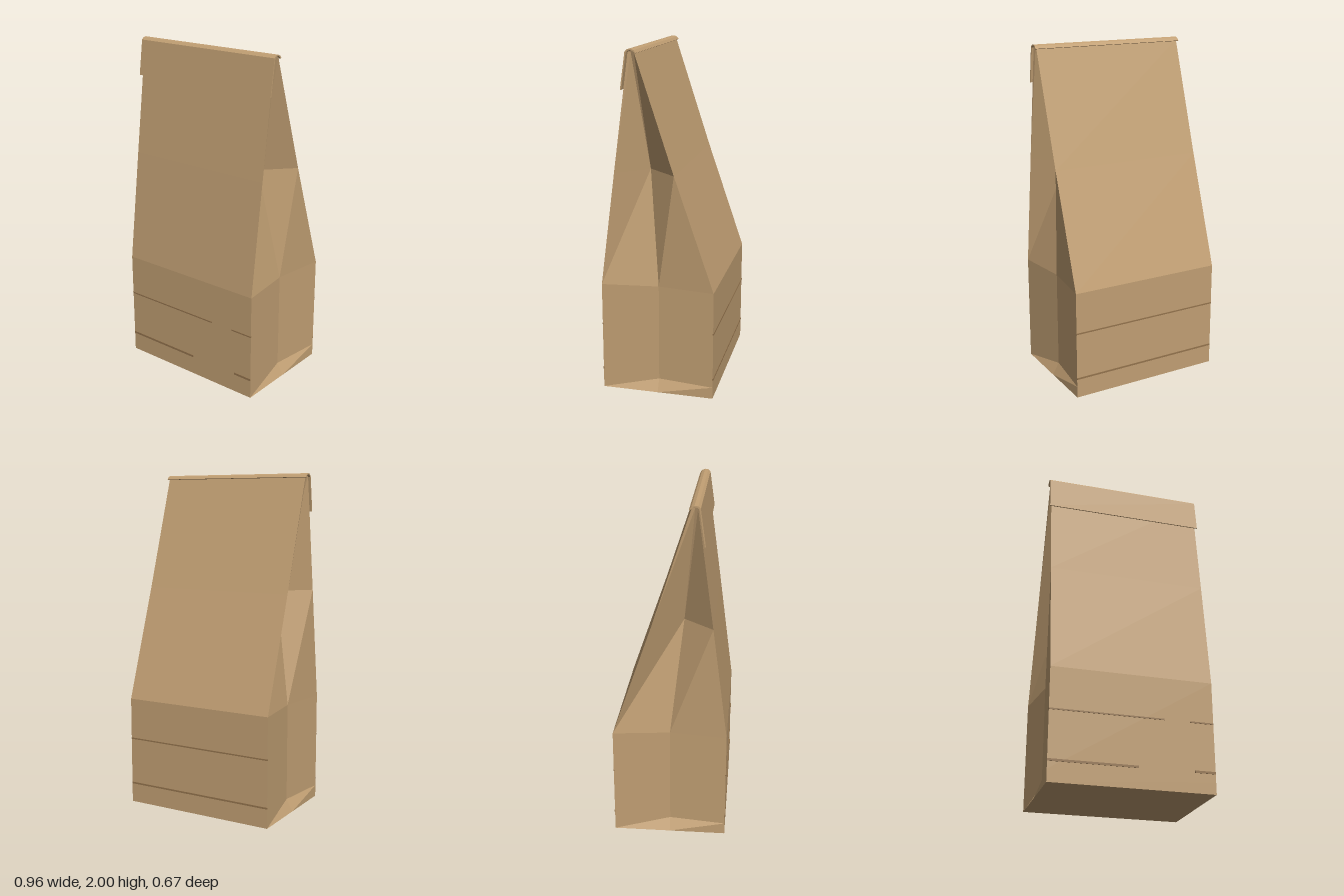
import * as THREE from 'three';

const HALF = 0.47; // half width of the bag

// Open sheet through rows of points (rows run upward, columns left to right seen from outside)
function sheet(name, rows, material) {
  const pos = [];
  for (let i = 0; i + 1 < rows.length; i++) {
    for (let j = 0; j + 1 < rows[i].length; j++) {
      const a = rows[i][j], b = rows[i][j + 1], c = rows[i + 1][j + 1], d = rows[i + 1][j];
      pos.push(...a, ...b, ...c, ...a, ...c, ...d);
    }
  }
  const geo = new THREE.BufferGeometry();
  geo.setAttribute('position', new THREE.Float32BufferAttribute(pos, 3));
  geo.computeVertexNormals();
  const mesh = new THREE.Mesh(geo, material);
  mesh.name = name;
  return mesh;
}

export function createModel() {
  const bag = new THREE.Group();
  bag.name = 'paperBag';

  const paper = new THREE.MeshStandardMaterial({ color: 0xc19f73, side: THREE.DoubleSide, flatShading: true });
  paper.name = 'kraft paper';
  const crease = new THREE.MeshStandardMaterial({ color: 0x94744e });
  crease.name = 'crease brown';

  // Levels of the bag: height, front z, back z, gusset fold z, gusset depth
  const levels = [
    [0, 0.33, -0.33, 0, 0],
    [0.07, 0.33, -0.33, 0, 0.04],
    [0.65, 0.33, -0.33, 0, 0.04],
    [1.315, 0.243, -0.1, 0.073, 0.155],
    [1.985, 0.153, 0.12, 0.138, 0.005],
  ];
  const rings = levels.map(([y, f, b, m, d]) => [
    [-HALF, y, f], [HALF, y, f], [HALF - d, y, m],
    [HALF, y, b], [-HALF, y, b], [-HALF + d, y, m], [-HALF, y, f],
  ]);

  // Four walls cut from the same rings
  const walls = { frontPanel: [0, 2], leftGusset: [1, 4], backPanel: [3, 5], rightGusset: [4, 7] };
  for (const [name, [from, to]] of Object.entries(walls)) {
    bag.add(sheet(name, rings.map((r) => r.slice(from, to)), paper));
  }

  // Flat base
  bag.add(sheet('base', [
    [[-HALF, 0, -0.33], [HALF, 0, -0.33]],
    [[-HALF, 0, 0.33], [HALF, 0, 0.33]],
  ], paper));

  // Folded-over top: thin profile in z and y, extruded across the width
  const profile = [
    [0.106, 1.978], [0.118, 1.993], [0.135, 2], [0.155, 1.997], [0.168, 1.985], [0.197, 1.78],
    [0.19, 1.78], [0.161, 1.98], [0.15, 1.99], [0.135, 1.993], [0.122, 1.987], [0.112, 1.975],
  ].map(([z, y]) => new THREE.Vector2(z, y));
  const foldGeo = new THREE.ExtrudeGeometry(new THREE.Shape(profile), { depth: 0.96, bevelEnabled: false });
  foldGeo.rotateY(-Math.PI / 2).translate(0.48, 0, 0);
  const fold = new THREE.Mesh(foldGeo, paper);
  fold.name = 'topFold';
  bag.add(fold);

  // Fine horizontal crease lines: x start, x end, y, z, height
  const lines = [
    [-HALF, 0.18, 0.403, 0.33, 0.008], [0.33, HALF, 0.403, 0.33, 0.008],
    [-HALF, 0.03, 0.12, 0.33, 0.013], [0.35, HALF, 0.12, 0.33, 0.013],
    [-HALF, HALF, 0.403, -0.33, 0.008], [-HALF, HALF, 0.12, -0.33, 0.01],
  ];
  for (const [x0, x1, y, z, h] of lines) {
    const line = new THREE.Mesh(new THREE.BoxGeometry(x1 - x0, h, 0.006), crease);
    line.position.set((x0 + x1) / 2, y, z);
    line.name = z > 0 ? 'frontCrease' : 'backCrease';
    bag.add(line);
  }

  return bag;
}
